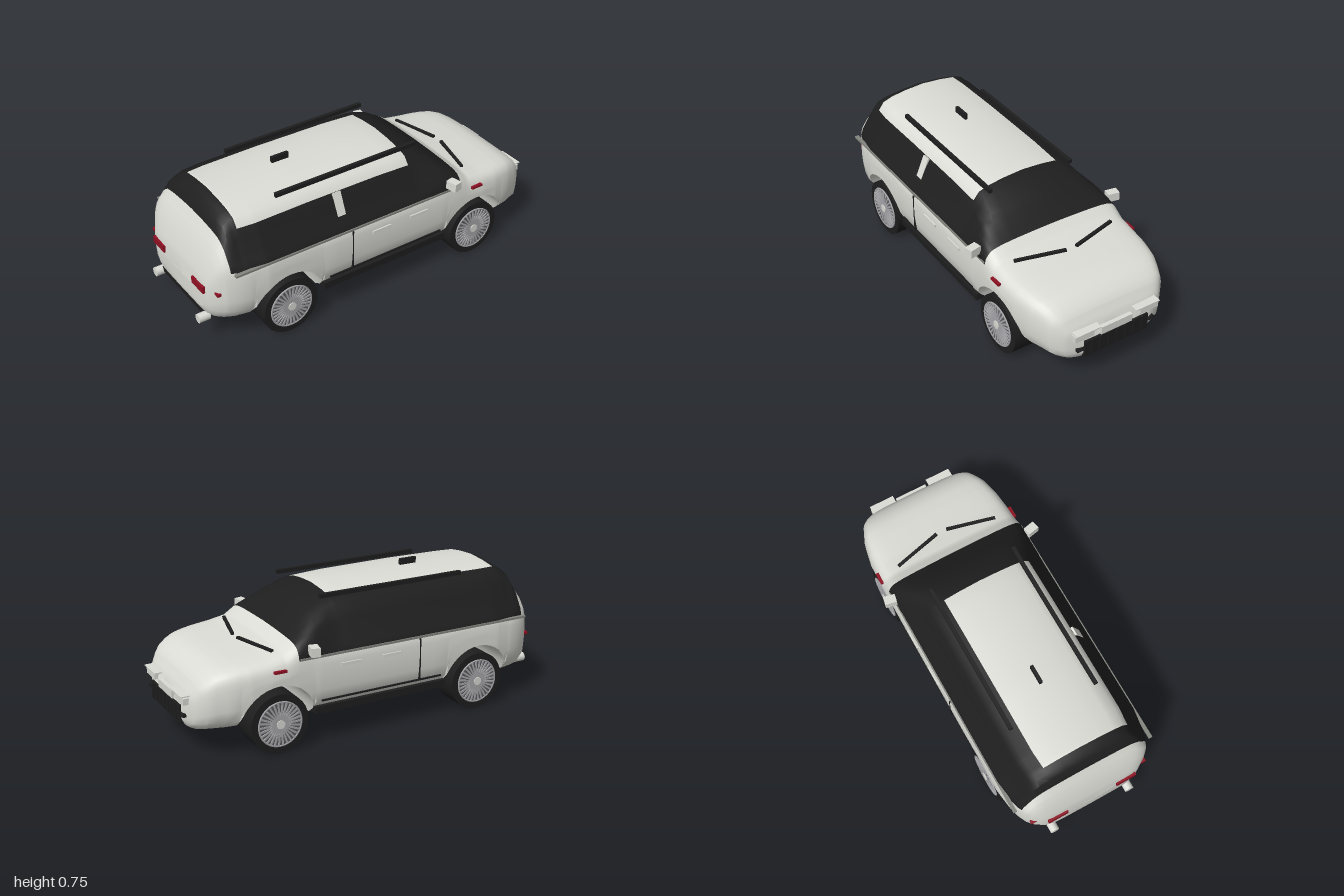
import * as THREE from 'three';
import { toCreasedNormals } from 'three/addons/utils/BufferGeometryUtils.js';

const material = (name, color) => {
  const m = new THREE.MeshStandardMaterial({ color });
  m.name = name;
  return m;
};
const paint = material('body paint', 0xdcdcd6);
const black = material('black glass and rubber', 0x1e1e1e);
const rimDark = material('rim shadow grey', 0x5c5c60);
const silver = material('rim silver', 0xa8a8ac);
const trim = material('belt trim grey', 0x85857f);
const red = material('lamp red', 0x8e1022);

const { lerp, smoothstep } = THREE.MathUtils;

// piecewise linear lookup in [position, value] pairs
function look(pairs, x) {
  if (x <= pairs[0][0]) return pairs[0][1];
  for (let i = 1; i < pairs.length; i++) {
    const [x0, y0] = pairs[i - 1], [x1, y1] = pairs[i];
    if (x <= x1) return lerp(y0, y1, (x - x0) / (x1 - x0));
  }
  return pairs[pairs.length - 1][1];
}

// side profile, floor line and plan outline along the car
const TOP = [[-0.97, 0.3], [-0.965, 0.38], [-0.95, 0.44], [-0.93, 0.5], [-0.905, 0.56], [-0.875, 0.62],
  [-0.85, 0.68], [-0.82, 0.7], [-0.79, 0.711], [-0.4, 0.717], [0, 0.713], [0.19, 0.702], [0.25, 0.685],
  [0.33, 0.64], [0.4, 0.583], [0.455, 0.54], [0.515, 0.498], [0.6, 0.482], [0.755, 0.467],
  [0.82, 0.455], [0.86, 0.44], [0.9, 0.413], [0.926, 0.387], [0.96, 0.33], [0.98, 0.26]];
const FLOOR = [[-0.97, 0.2], [-0.95, 0.165], [-0.92, 0.15], [-0.88, 0.145], [0.93, 0.145], [0.96, 0.155], [0.98, 0.18]];
const WIDTH = [[-0.971, 0], [-0.97, 0.22], [-0.96, 0.265], [-0.93, 0.315], [-0.9, 0.345], [-0.85, 0.37], [-0.8, 0.383],
  [-0.7, 0.398], [0.6, 0.398], [0.7, 0.39], [0.8, 0.37], [0.9, 0.33], [0.95, 0.28], [0.98, 0.2], [0.981, 0]];
// cross-section: height fraction, width fraction
const LOWER = [[0, 0.75], [0.08, 0.86], [0.26, 0.97], [0.45, 0.99], [0.6, 1], [0.88, 1], [1, 0.985]];
const CABIN = [[0, 0.985], [0.13, 0.94], [0.29, 0.86], [0.56, 0.775], [0.69, 0.72], [0.85, 0.64], [0.92, 0.5], [0.97, 0.28], [1, 0]];
const HOOD = [[0, 0.985], [0.3, 0.97], [0.52, 0.94], [0.7, 0.9], [0.8, 0.84], [0.88, 0.74], [0.94, 0.55], [0.98, 0.28], [1, 0]];

const AXLES = [-0.577, 0.56], AXLE_Y = 0.155, ARCH = 0.195;

function bodyShell() {
  // stations: profile knots plus finer steps round each wheel arch
  const xs = [...TOP, ...FLOOR, ...WIDTH].map(p => p[0]);
  for (const c of AXLES) {
    xs.push(c - ARCH - 0.001, c + ARCH + 0.001);
    for (let i = 0; i <= 18; i++) xs.push(c - ARCH * Math.cos(Math.PI * i / 18));
  }
  for (let x = -0.3; x < 0.3; x += 0.1) xs.push(x);
  const stations = [...new Set(xs.map(x => +x.toFixed(4)))].sort((a, b) => a - b);

  const position = [], rows = LOWER.length + CABIN.length; // rows on one side, floor centre to roof centre
  for (const x of stations) {
    const top = look(TOP, x), floor = look(FLOOR, x), w = look(WIDTH, x);
    const belt = Math.min(0.455, lerp(floor, top, 0.78));
    let bottom = floor;
    for (const c of AXLES) {
      const d = Math.abs(x - c);
      if (d <= ARCH + 0.0001) bottom = Math.max(floor, AXLE_Y + Math.sqrt(Math.max(0, ARCH * ARCH - d * d)));
    }
    const blend = Math.max(smoothstep(x, 0.2, 0.46), 0.75 * smoothstep(-x, 0.8, 0.93));
    const half = [[bottom, 0]];
    for (const [s] of LOWER) {
      const y = lerp(bottom, belt, s);
      half.push([y, w * look(LOWER, (y - floor) / (belt - floor))]);
    }
    for (let k = 1; k < CABIN.length; k++) {
      const v = lerp(CABIN[k][0], HOOD[k][0], blend), f = lerp(CABIN[k][1], HOOD[k][1], blend);
      half.push([lerp(belt, top, v), w * f]);
    }
    for (const [y, z] of half) position.push(x, y, z);
    for (let k = rows - 2; k >= 0; k--) position.push(x, half[k][0], -half[k][1]);
  }

  // glass band round the cabin, painted roof panel inside it
  const ring = 2 * rows - 1, painted = [], glass = [];
  for (let i = 0; i < stations.length - 1; i++) {
    const x = (stations[i] + stations[i + 1]) / 2;
    for (let j = 0; j < ring - 1; j++) {
      const leftSide = j < rows - 1, row = leftSide ? j : ring - 2 - j;
      const k = row - LOWER.length; // strip above the belt line
      const roof = x > -0.79 && x < 0.19 && k >= (leftSide ? 4 : 6);
      const isGlass = k >= 0 && x > -0.875 && x < 0.455 && !roof;
      const a = i * ring + j, b = a + ring;
      (isGlass ? glass : painted).push(a, b, b + 1, a, b + 1, a + 1);
    }
  }
  const g = new THREE.BufferGeometry();
  g.setAttribute('position', new THREE.Float32BufferAttribute(position, 3));
  g.setIndex([...painted, ...glass]);
  g.addGroup(0, painted.length, 0);
  g.addGroup(painted.length, glass.length, 1);
  const mesh = new THREE.Mesh(toCreasedNormals(g, 0.7), [paint, black]);
  mesh.name = 'bodyShell';
  return mesh;
}

function add(parent, name, geometry, mat, x = 0, y = 0, z = 0) {
  const m = new THREE.Mesh(geometry, mat);
  m.name = name;
  m.position.set(x, y, z);
  parent.add(m);
  return m;
}
// box given by its extents
const box = (parent, name, mat, [x0, x1], [y0, y1], [z0, z1]) =>
  add(parent, name, new THREE.BoxGeometry(x1 - x0, y1 - y0, Math.abs(z1 - z0)), mat, (x0 + x1) / 2, (y0 + y1) / 2, (z0 + z1) / 2);
// the same box on both sides
const pair = (parent, name, mat, xr, yr, [z0, z1]) =>
  [1, -1].map(s => box(parent, name, mat, xr, yr, [s * z0, s * z1]));

function wheel() {
  const g = new THREE.Group();
  g.name = 'wheel';
  const disc = (name, r, depth, mat, z, n = 40) =>
    add(g, name, new THREE.CylinderGeometry(r, r, depth, n).rotateX(Math.PI / 2), mat, 0, 0, z);
  disc('tyre', 0.152, 0.146, black, -0.073);
  disc('rimDisc', 0.117, 0.004, rimDark, 0.001);
  add(g, 'rimRing', new THREE.TorusGeometry(0.113, 0.005, 6, 40), silver, 0, 0, 0.002);
  for (let i = 0; i < 30; i++) {
    const spoke = add(g, 'spoke', new THREE.BoxGeometry(0.1, 0.009, 0.006).translate(0.06, 0, 0), silver, 0, 0, 0.004);
    spoke.rotation.z = i * Math.PI / 15;
  }
  disc('hub', 0.022, 0.012, paint, 0.005, 16);
  return g;
}

export function createModel() {
  const car = new THREE.Group();
  car.name = 'car';
  car.add(bodyShell());

  // wheels
  for (const x of AXLES) for (const s of [1, -1]) {
    const w = wheel();
    w.position.set(x, 0.152, s * 0.388);
    if (s < 0) w.rotation.y = Math.PI;
    car.add(w);
  }

  // side trim, sills, door seams and handles
  pair(car, 'beltTrim', trim, [-0.87, 0.45], [0.452, 0.463], [0.375, 0.394]);
  pair(car, 'sill', black, [-0.38, 0.365], [0.16, 0.197], [0.32, 0.386]);
  pair(car, 'sillLine', black, [-0.35, 0.335], [0.224, 0.233], [0.37, 0.393]);
  pair(car, 'doorSeam', black, [-0.222, -0.216], [0.23, 0.452], [0.37, 0.4]);
  for (const x of [-0.105, 0.125]) pair(car, 'doorHandle', paint, [x, x + 0.11], [0.392, 0.408], [0.385, 0.405]);
  box(car, 'doorPillar', paint, [-0.272, -0.226], [0.455, 0.635], [0.285, 0.335]).rotation.x = -0.4;

  // door mirrors
  for (const s of [1, -1]) {
    add(car, 'mirror', new THREE.BoxGeometry(0.045, 0.045, 0.062), paint, 0.387, 0.502, s * 0.415).rotation.y = s * 0.2;
    box(car, 'mirrorArm', black, [0.38, 0.42], [0.465, 0.482], [s * 0.36, s * 0.395]);
  }

  // roof rails and aerial
  pair(car, 'roofRail', black, [-0.555, 0.265], [0.693, 0.714], [0.225, 0.244]);
  box(car, 'roofAerial', black, [-0.43, -0.335], [0.71, 0.748], [-0.008, 0.008]);

  // wipers
  for (const s of [1, -1]) {
    const wiper = add(car, 'wiper', new THREE.BoxGeometry(0.016, 0.012, 0.265), black, 0.578, 0.488, s * 0.158);
    wiper.rotation.y = -s * 0.25;
  }

  // lamps and exhausts
  pair(car, 'sideMarker', red, [0.525, 0.59], [0.415, 0.427], [0.38, 0.405]);
  pair(car, 'tailLamp', red, [-0.977, -0.94], [0.315, 0.352], [0.14, 0.25]);
  pair(car, 'rearMarker', red, [-0.94, -0.92], [0.328, 0.342], [0.3, 0.33]);
  box(car, 'rearBumperStrip', black, [-0.962, -0.93], [0.155, 0.18], [-0.21, 0.21]);
  for (const s of [1, -1]) {
    add(car, 'exhaust', new THREE.CylinderGeometry(0.024, 0.024, 0.06, 20).rotateZ(Math.PI / 2), paint, -0.97, 0.155, s * 0.22);
  }

  // front end
  box(car, 'grille', black, [0.96, 0.99], [0.17, 0.262], [-0.185, 0.185]);
  for (let i = -3; i <= 3; i++) box(car, 'grilleRib', black, [0.985, 0.996], [0.18, 0.262], [i * 0.049 - 0.004, i * 0.049 + 0.004]);
  for (const y of [0.214, 0.228]) pair(car, 'grilleBracket', black, [0.955, 0.988], [y - 0.002, y + 0.002], [0.18, 0.224]);
  pair(car, 'bracketEnd', black, [0.955, 0.988], [0.212, 0.23], [0.22, 0.225]);
  pair(car, 'headlight', paint, [0.92, 0.99], [0.281, 0.314], [0.135, 0.242]);
  pair(car, 'headlightBrow', paint, [0.92, 1.0], [0.32, 0.326], [0.102, 0.242]);
  box(car, 'frontPlate', paint, [0.93, 0.988], [0.262, 0.304], [-0.09, 0.09]);

  return car;
}
